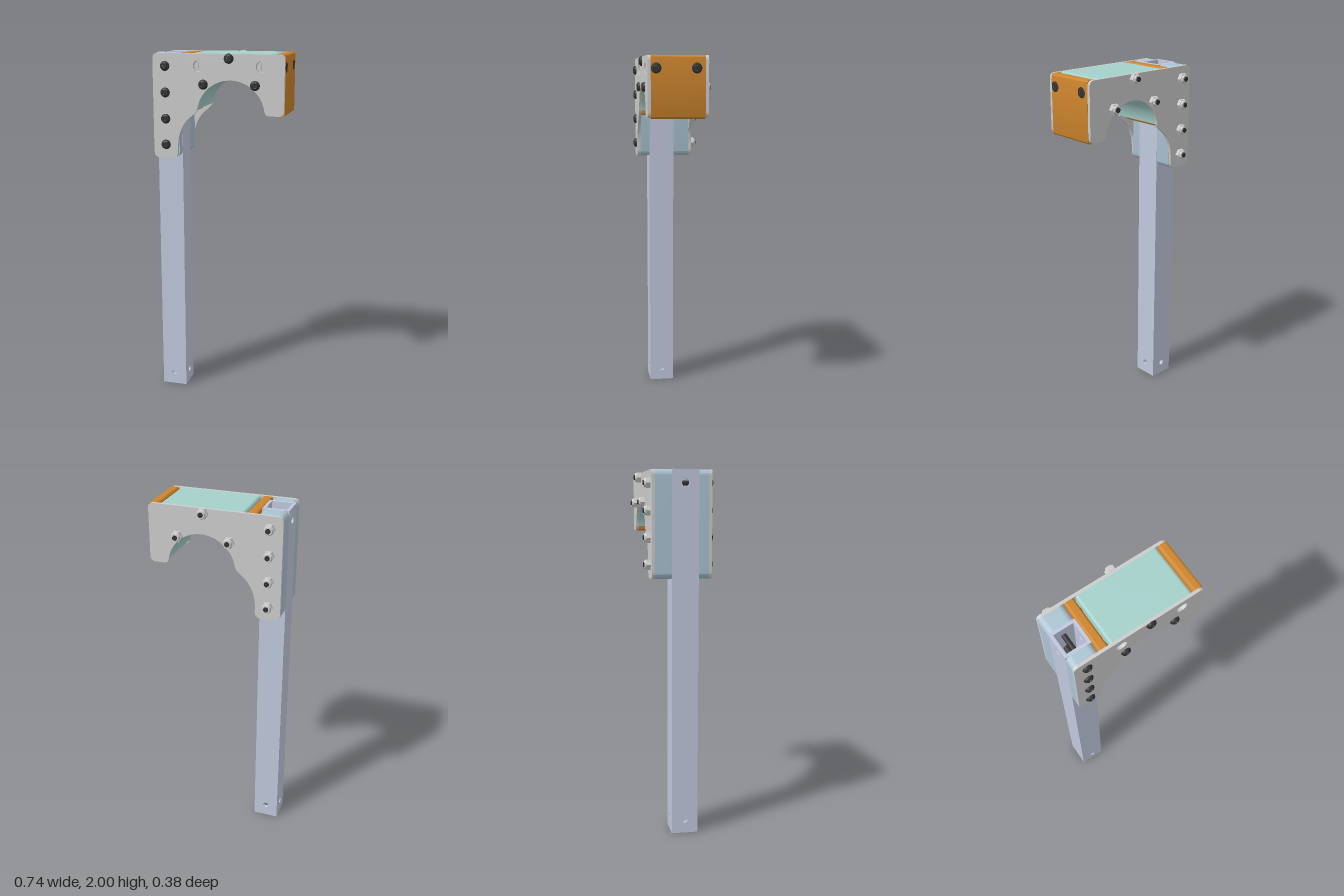
import * as THREE from 'three';
import { toCreasedNormals } from 'three/addons/utils/BufferGeometryUtils.js';

const mat = (color) => new THREE.MeshStandardMaterial({ color });
const grey = mat(0xcccccc), tubeBlue = mat(0xc0c8dc), paleBlue = mat(0xabc4d2);
const mint = mat(0xa5d0cb), orange = mat(0xcc842c), black = mat(0x333333);

const ZB = -0.136, ZF = 0.155, PLATE = 0.0165; // inner faces and thickness of the side plates
const TUBE_X = -0.3, TUBE_Z = 0.028, TUBE = 0.145, WALL = 0.017;

function add(parent, name, geo, material, x = 0, y = 0, z = 0) {
  const mesh = new THREE.Mesh(geo, material);
  mesh.name = name;
  mesh.position.set(x, y, z);
  parent.add(mesh);
  return mesh;
}

function extrude(shape, depth) {
  const geo = new THREE.ExtrudeGeometry(shape, { depth, bevelEnabled: false, curveSegments: 20 });
  return toCreasedNormals(geo, 0.6);
}

function hole(shape, x, y, r) {
  shape.holes.push(new THREE.Path().absarc(x, y, r, 0, Math.PI * 2, true));
}

function roundedRect(x0, x1, y0, y1, r) {
  const s = new THREE.Shape();
  s.absarc(x1 - r, y0 + r, r, -Math.PI / 2, 0);
  s.absarc(x1 - r, y1 - r, r, 0, Math.PI / 2);
  s.absarc(x0 + r, y1 - r, r, Math.PI / 2, Math.PI);
  s.absarc(x0 + r, y0 + r, r, Math.PI, Math.PI * 1.5);
  s.closePath();
  return s;
}

// The semicircular arch shared by the plates and the core
const arch = (s) => s.absarc(0.07, 1.67, 0.19, Math.PI - 0.16, 0.16, true);

function plateShape() {
  const s = new THREE.Shape();
  s.moveTo(-0.335, 1.425);
  s.lineTo(-0.265, 1.425);
  s.quadraticCurveTo(-0.23, 1.425, -0.23, 1.465);
  s.lineTo(-0.23, 1.5);
  s.quadraticCurveTo(-0.225, 1.61, -0.14, 1.67);
  s.quadraticCurveTo(-0.122, 1.685, -0.1176, 1.7);
  arch(s);
  s.quadraticCurveTo(0.262, 1.675, 0.285, 1.675);
  s.lineTo(0.335, 1.675);
  s.quadraticCurveTo(0.365, 1.675, 0.365, 1.705);
  s.lineTo(0.365, 1.97);
  s.quadraticCurveTo(0.365, 2, 0.335, 2);
  s.lineTo(-0.34, 2);
  s.quadraticCurveTo(-0.37, 2, -0.37, 1.97);
  s.lineTo(-0.37, 1.465);
  s.quadraticCurveTo(-0.37, 1.425, -0.335, 1.425);
  return s;
}

function coreShape() {
  const s = new THREE.Shape();
  s.moveTo(-0.16, 1.7);
  s.lineTo(-0.1176, 1.7);
  arch(s);
  s.lineTo(0.303, 1.7);
  s.lineTo(0.303, 1.985);
  s.quadraticCurveTo(0.303, 2, 0.288, 2);
  s.lineTo(-0.145, 2);
  s.quadraticCurveTo(-0.16, 2, -0.16, 1.985);
  s.closePath();
  return s;
}

// Square tube from four walls, with cross holes
function buildTube() {
  const g = new THREE.Group();
  g.name = 'squareTube';
  const wall = (width, holes) => {
    const s = new THREE.Shape([[-1, 0], [1, 0], [1, 2], [-1, 2]]
      .map(([a, y]) => new THREE.Vector2(a * width / 2, y)));
    holes.forEach(([y, r]) => hole(s, 0, y, r));
    return extrude(s, WALL);
  };
  const h = TUBE / 2;
  for (const z of [-h, h - WALL]) add(g, 'tubeWall', wall(TUBE, [[0.075, 0.016]]), tubeBlue, 0, 0, z);
  for (const x of [-h, h - WALL]) {
    add(g, 'tubeSideWall', wall(TUBE - 2 * WALL, [[0.075, 0.016], [1.93, 0.02]]), tubeBlue, x).rotation.y = Math.PI / 2;
  }
  g.position.set(TUBE_X + 0.0025, 0, TUBE_Z);
  return g;
}

// Button head with hex socket, pointing along +y
function headGeometry(r, height) {
  const pts = [[0.012, height * 0.35], [0.012, height], [r * 0.6, height], [r * 0.88, height * 0.6], [r, 0]];
  const geo = new THREE.LatheGeometry(pts.reverse().map(([a, b]) => new THREE.Vector2(a, b)), 24);
  return toCreasedNormals(geo, 0.4);
}

// Bolt through both plates, with a locking nut at the back
function buildBolt(x, y) {
  const g = new THREE.Group();
  g.name = 'throughBolt';
  const front = ZF + PLATE, back = ZB - PLATE;
  const cyl = (name, r, z0, z1, n, m, rTop = r) => {
    const c = add(g, name, toCreasedNormals(new THREE.CylinderGeometry(rTop, r, z1 - z0, n), 0.5), m, 0, 0, (z0 + z1) / 2);
    c.rotation.x = Math.PI / 2;
    return c;
  };
  cyl('boltShaft', 0.0135, -0.19, front, 20, black);
  add(g, 'boltHead', headGeometry(0.027, 0.016), black, 0, 0, front).rotation.x = Math.PI / 2;
  cyl('boltSocket', 0.0125, front, front + 0.006, 6, black);
  cyl('nut', 0.0315, back - 0.023, back, 6, grey).rotation.y = Math.PI / 6;
  cyl('nutCollar', 0.021, back - 0.033, back - 0.023, 24, grey, 0.026);
  g.position.set(x, y, 0);
  return g;
}

export function createModel() {
  const model = new THREE.Group();
  model.name = 'archBracketOnPost';
  const pockets = [[-0.108, 1.933], [0.24, 1.933]];

  model.add(buildTube());

  // Side plates; the front one is open for the barrel nuts
  const frontShape = plateShape();
  pockets.forEach(([x, y]) => hole(frontShape, x, y, 0.031));
  add(model, 'frontPlate', extrude(frontShape, PLATE), grey, 0, 0, ZF);
  add(model, 'backPlate', extrude(plateShape(), PLATE), grey, 0, 0, ZB - PLATE);

  // Spacers between tube and plates
  const spacer = () => roundedRect(-0.37, -0.226, 1.425, 2, 0.032);
  const tubeFront = TUBE_Z + TUBE / 2, tubeBack = TUBE_Z - TUBE / 2;
  add(model, 'frontSpacer', extrude(spacer(), ZF - tubeFront), paleBlue, 0, 0, tubeFront);
  add(model, 'backSpacer', extrude(spacer(), tubeBack - ZB), paleBlue, 0, 0, ZB);

  // Arched core
  const core = coreShape();
  pockets.forEach(([x, y]) => hole(core, x, y, 0.031));
  add(model, 'archCore', extrude(core, ZF - ZB), mint, 0, 0, ZB);

  // End blocks
  add(model, 'innerEndBlock', extrude(roundedRect(-0.225, -0.171, 1.67, 2, 0.012), ZF - ZB), orange, 0, 0, ZB);
  add(model, 'outerEndBlock', extrude(roundedRect(0.312, 0.366, 1.67, 2, 0.015), ZF - ZB), orange, 0, 0, ZB);

  // Slotted barrel nuts
  for (const [x, y] of pockets) {
    const face = new THREE.Shape().absarc(0, 0, 0.029, 0, Math.PI * 2);
    face.holes.push(new THREE.Path([[-0.007, -0.02], [-0.007, 0.02], [0.007, 0.02], [0.007, -0.02]]
      .map(([a, b]) => new THREE.Vector2(a, b))));
    add(model, 'barrelNutFace', extrude(face, 0.012), grey, x, y, 0.142);
    const body = new THREE.CylinderGeometry(0.029, 0.029, 0.27, 24);
    add(model, 'barrelNut', body, grey, x, y, 0.007).rotation.x = Math.PI / 2;
  }

  // Screws holding the end blocks to the core
  for (const z of [0.127, -0.088]) {
    for (const [x0, x1] of [[-0.22, -0.1], [0.24, 0.36]]) {
      const shaft = new THREE.CylinderGeometry(0.0135, 0.0135, x1 - x0, 20);
      add(model, 'endScrewShaft', shaft, black, (x0 + x1) / 2, 1.933, z).rotation.z = Math.PI / 2;
    }
    add(model, 'endScrewHead', headGeometry(0.028, 0.003), black, 0.366, 1.933, z).rotation.z = -Math.PI / 2;
    const socket = new THREE.CylinderGeometry(0.0125, 0.0125, 0.002, 6);
    add(model, 'endScrewSocket', socket, black, 0.366, 1.933, z).rotation.z = Math.PI / 2;
  }

  // Bolts: a column along the tube and three around the arch
  const bolts = [0, 1, 2, 3].map((i) => [TUBE_X, 1.5 + i * 0.1437]);
  bolts.push([0.06, 1.975], [-0.083, 1.835], [0.205, 1.835]);
  bolts.forEach(([x, y]) => model.add(buildBolt(x, y)));

  return model;
}
